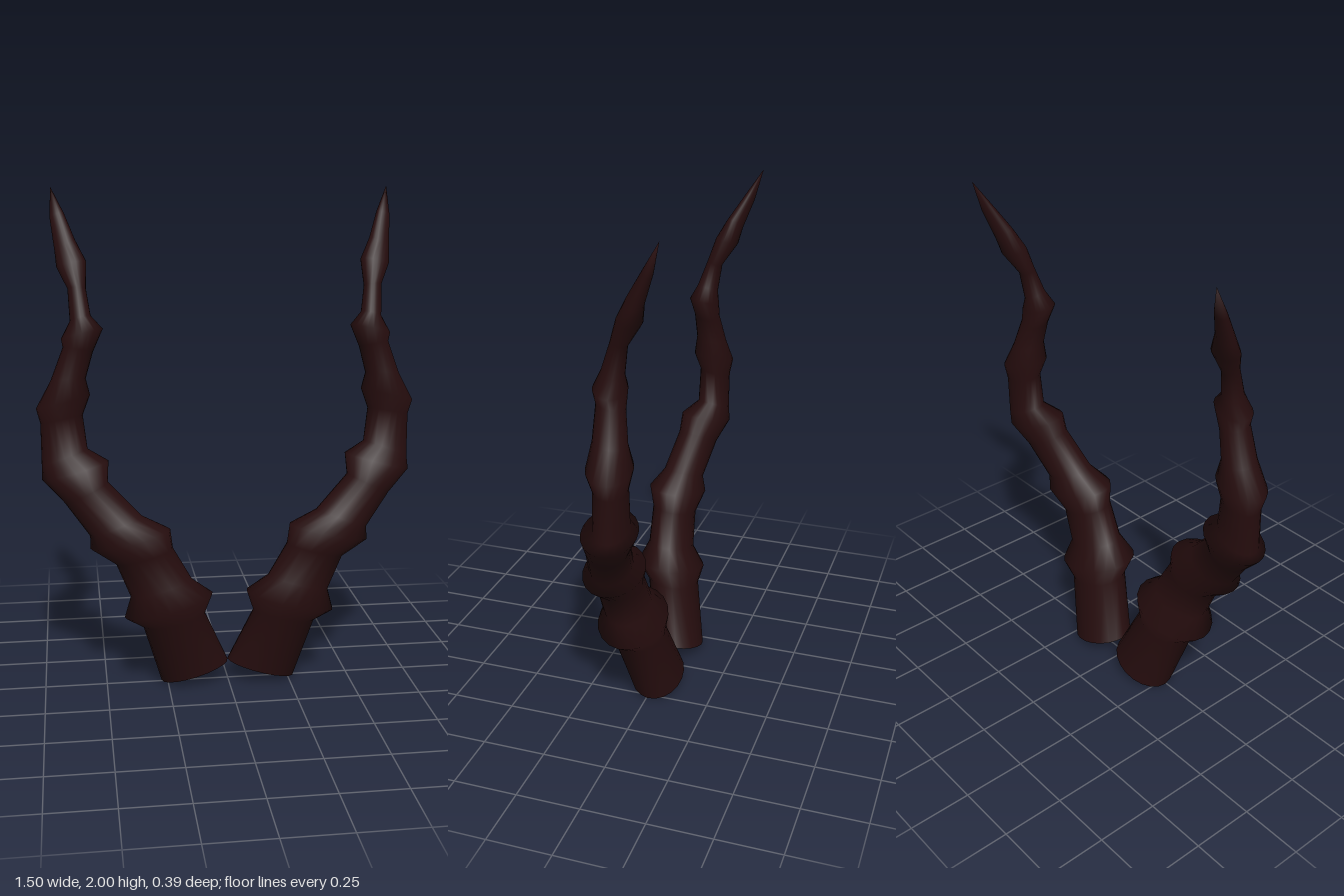
import * as THREE from 'three';

const SIDES = 20;

// Horn sections, base to tip: inner x, y, outer x, y, front z, back z
const SECTIONS = [
  [0.0, 0.08, 0.275, 0.0, 0.10, -0.11],
  [0.10, 0.31, 0.35, 0.26, 0.15, -0.06],
  [0.07, 0.40, 0.425, 0.31, 0.20, -0.075],
  [0.155, 0.465, 0.40, 0.40, 0.165, -0.02],
  [0.23, 0.60, 0.455, 0.54, 0.17, -0.01],
  [0.24, 0.68, 0.555, 0.61, 0.20, -0.035],
  [0.35, 0.735, 0.555, 0.66, 0.155, -0.01],
  [0.48, 0.87, 0.65, 0.79, 0.125, -0.04],
  [0.475, 0.95, 0.735, 0.88, 0.12, -0.085],
  [0.555, 0.995, 0.735, 0.93, 0.06, -0.07],
  [0.57, 1.13, 0.735, 1.10, 0.055, -0.07],
  [0.54, 1.21, 0.75, 1.16, 0.08, -0.085],
  [0.555, 1.275, 0.69, 1.27, 0.065, -0.06],
  [0.525, 1.38, 0.64, 1.40, 0.065, -0.04],
  [0.485, 1.47, 0.645, 1.435, 0.08, -0.04],
  [0.53, 1.52, 0.61, 1.50, 0.05, -0.035],
  [0.545, 1.62, 0.615, 1.62, 0.01, -0.05],
  [0.54, 1.72, 0.655, 1.70, -0.02, -0.11],
  [0.58, 1.80, 0.66, 1.76, -0.06, -0.125],
  [0.62, 1.90, 0.675, 1.88, -0.13, -0.165],
];
const TIP = [0.67, 2.0, -0.195];

// Point on the elliptical rim of a section
function rimPoint([ix, iy, ox, oy, zf, zb], j, side) {
  const a = (j / SIDES) * Math.PI * 2;
  const c = Math.cos(a), s = Math.sin(a);
  return [
    side * ((ix + ox) / 2 + ((ox - ix) / 2) * c),
    (iy + oy) / 2 + ((oy - iy) / 2) * c + 0.01 * s,
    (zf + zb) / 2 + ((zf - zb) / 2) * s,
  ];
}

function makeGeometry(pos, idx, side) {
  if (side < 0) idx.reverse(); // keep faces outward on the mirrored horn
  const g = new THREE.BufferGeometry();
  g.setAttribute('position', new THREE.Float32BufferAttribute(pos, 3));
  g.setIndex(idx);
  g.computeVertexNormals();
  return g;
}

// Ridged shaft running up to a point
function shaftGeometry(side) {
  const pos = [], idx = [];
  for (const sec of SECTIONS)
    for (let j = 0; j < SIDES; j++) pos.push(...rimPoint(sec, j, side));
  pos.push(side * TIP[0], TIP[1], TIP[2]);
  const last = SECTIONS.length - 1, tip = SECTIONS.length * SIDES;
  for (let i = 0; i <= last; i++) {
    for (let j = 0; j < SIDES; j++) {
      const k = (j + 1) % SIDES;
      const a = i * SIDES + j, b = i * SIDES + k;
      if (i === last) idx.push(a, tip, b);
      else idx.push(a, a + SIDES, b, b, a + SIDES, b + SIDES);
    }
  }
  return makeGeometry(pos, idx, side);
}

// Flat cap closing the root
function capGeometry(side) {
  const pos = [], idx = [];
  for (let j = 0; j < SIDES; j++) pos.push(...rimPoint(SECTIONS[0], j, side));
  for (let j = 1; j < SIDES - 1; j++) idx.push(0, j, j + 1);
  return makeGeometry(pos, idx, side);
}

export function createModel() {
  const model = new THREE.Group();
  model.name = 'horns';
  const hornBrown = new THREE.MeshStandardMaterial({ color: 0x260d0e });
  hornBrown.name = 'darkHornBrown';

  for (const [label, side] of [['left', 1], ['right', -1]]) {
    const horn = new THREE.Group();
    horn.name = `${label}Horn`;
    const shaft = new THREE.Mesh(shaftGeometry(side), hornBrown);
    shaft.name = `${label}HornShaft`;
    const cap = new THREE.Mesh(capGeometry(side), hornBrown);
    cap.name = `${label}HornBase`;
    horn.add(shaft, cap);
    model.add(horn);
  }
  return model;
}
